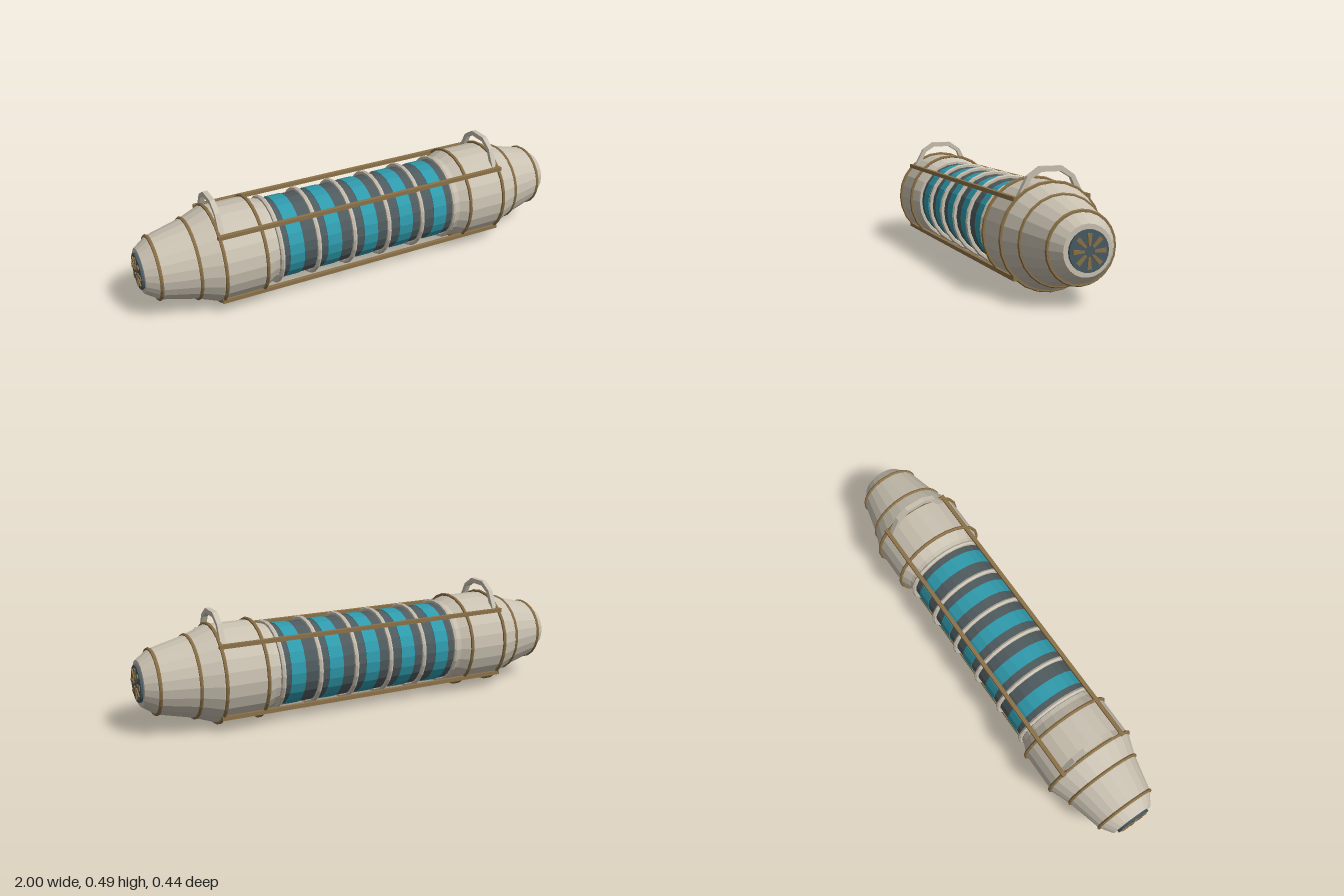
import * as THREE from 'three';

const SIDES = 24;
const AXIS_Y = 0.22;

function material(name, color) {
  const m = new THREE.MeshStandardMaterial({ color, flatShading: true });
  m.name = name;
  return m;
}

export function createModel() {
  const cream = material('cream casing', 0xc9c1b1);
  const brown = material('bronze trim', 0x8b7148);
  const teal = material('teal glass', 0x2f9bad);
  const slate = material('dark slate', 0x475a62);
  const grey = material('dark core', 0x4f5b5f);

  const model = new THREE.Group();
  model.name = 'capsule';
  const body = new THREE.Group();
  body.name = 'body';
  body.position.y = AXIS_Y;
  model.add(body);

  const add = (parent, name, geometry, mat) => {
    const mesh = new THREE.Mesh(geometry, mat);
    mesh.name = name;
    parent.add(mesh);
    return mesh;
  };
  // Surface of revolution about x, from [x, radius] pairs with x rising
  const turned = (profile) => new THREE.LatheGeometry(
    profile.map(([x, r]) => new THREE.Vector2(r, x)), SIDES).rotateZ(-Math.PI / 2);
  const hoop = (x, r, tube, sides) => new THREE.TorusGeometry(r, tube, sides, SIDES)
    .rotateY(Math.PI / 2).translate(x, 0, 0);

  // Central tube with glass bands
  add(body, 'core', turned([[-0.45, 0.177], [0.45, 0.177]]), grey);
  for (let i = -2; i <= 2; i++) {
    const x = i * 0.177;
    add(body, 'glassBand', turned([
      [x - 0.033, 0.176], [x - 0.033, 0.18], [x + 0.033, 0.18], [x + 0.033, 0.176],
    ]), teal);
  }
  // Ribs around the tube
  for (let i = 0; i < 6; i++) {
    add(body, 'rib', hoop(-0.425 + i * 0.17, 0.187, 0.01, 6), cream);
  }

  // Long guard rods
  for (const y of [-1, 1]) {
    for (const z of [-1, 1]) {
      const rod = add(body, 'guardRod', new THREE.BoxGeometry(1.38, 0.017, 0.017), brown);
      rod.position.set(0, y * 0.152, z * 0.152);
    }
  }

  // Carry handle outline, z across and y up
  const half = [[0.045, 0.271], [0.098, 0.235], [0.142, 0.15]];
  const inner = [[0.118, 0.15], [0.083, 0.224], [0.04, 0.25]];
  const right = [...half, ...inner];
  const outline = [
    ...right, ...right.slice().reverse().map(([z, y]) => [-z, y]),
  ].map(([z, y]) => new THREE.Vector2(z, y));
  const handleShape = new THREE.Shape(outline);

  // One tapered ray of the end vent
  const rayShape = new THREE.Shape([
    new THREE.Vector2(-0.0045, 0.02), new THREE.Vector2(0.0045, 0.02),
    new THREE.Vector2(0.009, 0.065), new THREE.Vector2(-0.009, 0.065),
  ]);

  // Matching end caps
  for (const side of [1, -1]) {
    const end = new THREE.Group();
    end.name = side > 0 ? 'leftEnd' : 'rightEnd';
    if (side < 0) end.rotation.y = Math.PI;
    body.add(end);

    add(end, 'endCasing', turned([
      [0.435, 0.172], [0.435, 0.183], [0.455, 0.186], [0.5, 0.207], [0.69, 0.207],
      [0.775, 0.174], [0.93, 0.135], [0.985, 0.097], [0.985, 0],
    ]), cream);
    for (const [x, r] of [[0.5, 0.211], [0.68, 0.211], [0.775, 0.174], [0.93, 0.135]]) {
      add(end, 'trimRing', hoop(x, r, 0.0075, 6), brown);
    }
    add(end, 'ventDisc', turned([[0.98, 0.078], [0.995, 0.078], [0.995, 0]]), slate);
    for (let i = 0; i < 8; i++) {
      const ray = new THREE.ExtrudeGeometry(rayShape, { depth: 0.006, bevelEnabled: false });
      ray.rotateZ(i * Math.PI / 4).rotateY(Math.PI / 2).translate(0.994, 0, 0);
      add(end, 'ventRay', ray, brown);
    }
    const handle = new THREE.ExtrudeGeometry(handleShape, { depth: 0.022, bevelEnabled: false });
    add(end, 'handle', handle.rotateY(Math.PI / 2).translate(0.655, 0, 0), cream);
  }
  return model;
}
